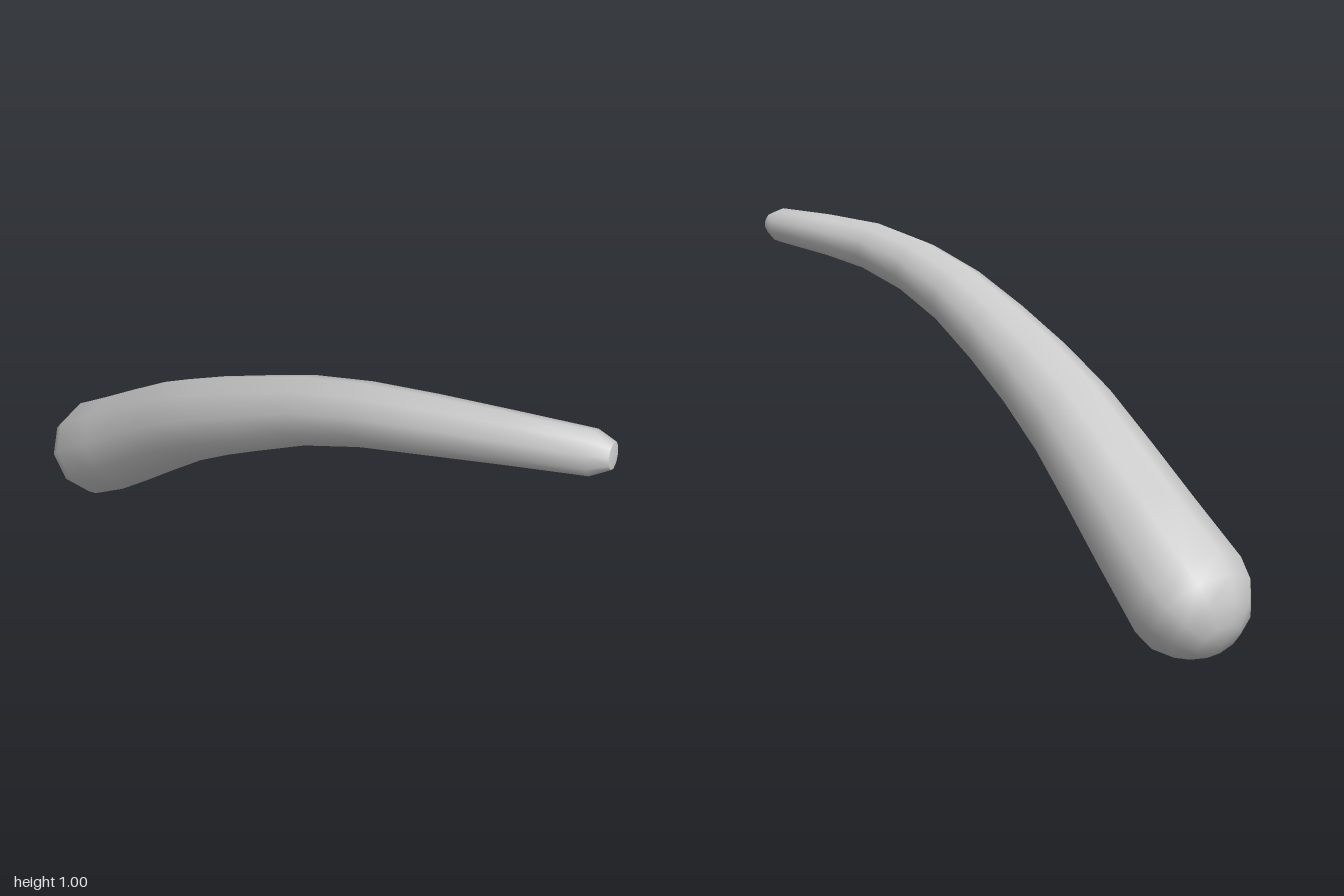
import * as THREE from 'three';
import { toCreasedNormals } from 'three/addons/utils/BufferGeometryUtils.js';

const SIDES = 10;
const STEPS = 10;

// Centre line from the thick end to the thin end: x, y, z, radius
const SPINE = [
  [-0.395, 0.17, -0.83, 0.17],
  [-0.32, 0.32, -0.6, 0.156],
  [-0.222, 0.518, -0.3, 0.137],
  [-0.105, 0.677, 0, 0.117],
  [0.04, 0.818, 0.3, 0.097],
  [0.215, 0.9, 0.6, 0.082],
  [0.5, 0.942, 0.925, 0.06],
];

function buildRings() {
  const curve = new THREE.CatmullRomCurve3(SPINE.map(([x, y, z]) => new THREE.Vector3(x, y, z)));
  const frames = curve.computeFrenetFrames(STEPS);
  const radiusAt = (u) => {
    const s = curve.getUtoTmapping(u) * (SPINE.length - 1);
    const i = Math.min(Math.floor(s), SPINE.length - 2);
    return THREE.MathUtils.lerp(SPINE[i][3], SPINE[i + 1][3], s - i);
  };
  const rings = [];
  const addRing = (i, offset, radius) => rings.push({
    centre: curve.getPointAt(i / STEPS).addScaledVector(frames.tangents[i], offset),
    n: frames.normals[i], b: frames.binormals[i], radius,
  });

  // Hemispherical thick end
  const r0 = SPINE[0][3];
  for (let k = 0; k < 4; k++) {
    const a = (k / 4) * Math.PI / 2;
    addRing(0, -r0 * Math.cos(a), r0 * Math.sin(a));
  }
  // Tapering body
  for (let i = 0; i <= STEPS; i++) addRing(i, 0, radiusAt(i / STEPS));
  // Blunt, bevelled thin end
  addRing(STEPS, 0.05, 0.036);
  addRing(STEPS, 0.056, 0);
  return rings;
}

function loft(rings) {
  const positions = [];
  const index = [];
  for (const { centre, n, b, radius } of rings) {
    for (let j = 0; j < SIDES; j++) {
      const a = (j / SIDES) * Math.PI * 2;
      const p = centre.clone()
        .addScaledVector(n, radius * Math.cos(a))
        .addScaledVector(b, radius * Math.sin(a));
      positions.push(p.x, p.y, p.z);
    }
  }
  for (let i = 0; i < rings.length - 1; i++) {
    for (let j = 0; j < SIDES; j++) {
      const k = (j + 1) % SIDES;
      const a = i * SIDES + j, b = i * SIDES + k;
      const c = b + SIDES, d = a + SIDES;
      // Skip the collapsed triangles at the two poles
      if (rings[i].radius > 0) index.push(a, b, c);
      if (rings[i + 1].radius > 0) index.push(a, c, d);
    }
  }
  const geometry = new THREE.BufferGeometry();
  geometry.setAttribute('position', new THREE.Float32BufferAttribute(positions, 3));
  geometry.setIndex(index);
  return toCreasedNormals(geometry, 0.75);
}

export function createModel() {
  const group = new THREE.Group();
  group.name = 'curvedHorn';
  const horn = new THREE.Mesh(
    loft(buildRings()),
    new THREE.MeshStandardMaterial({ color: 0xcccccc }),
  );
  horn.name = 'hornBody';
  group.add(horn);
  return group;
}
